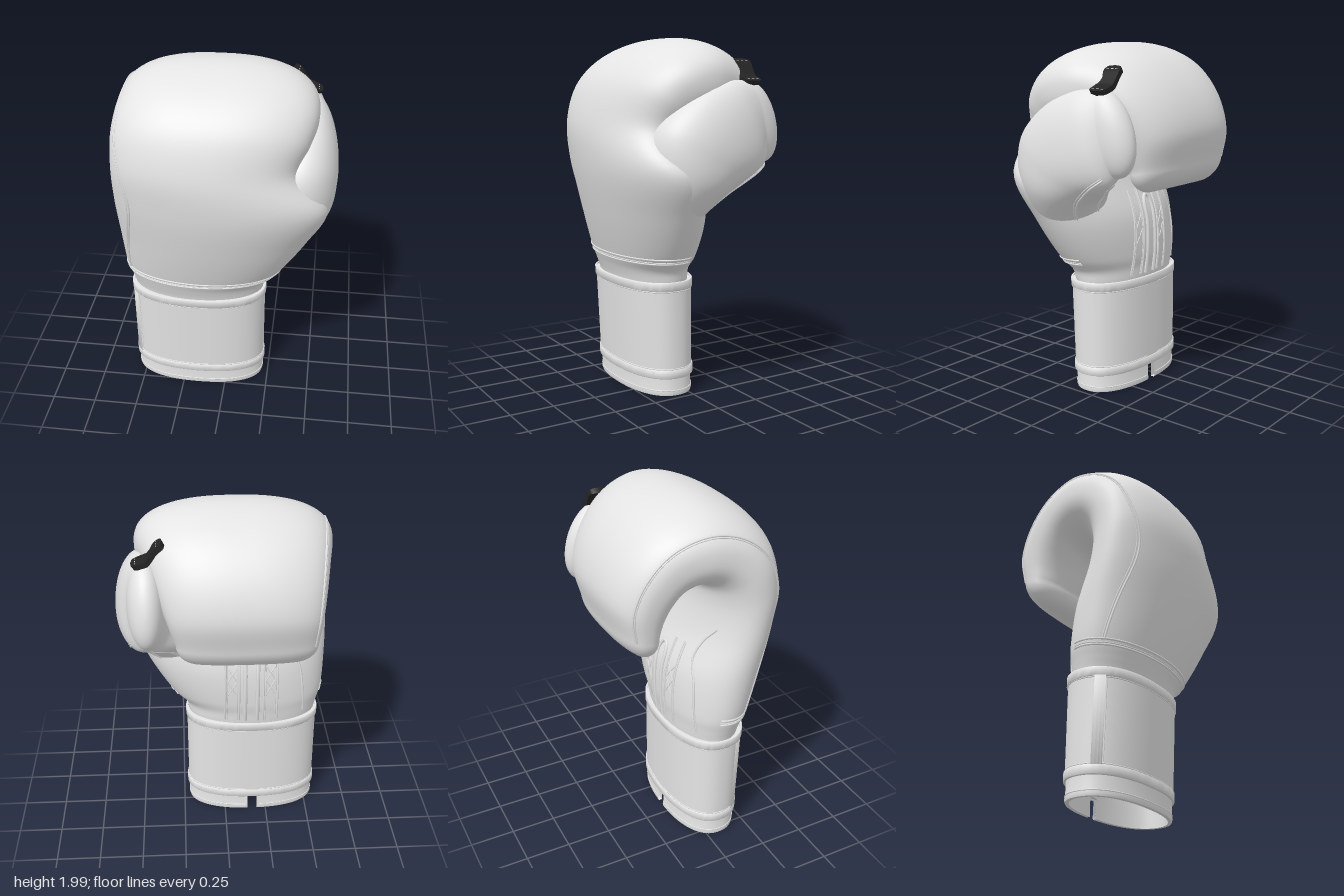
import * as THREE from 'three';
import { toCreasedNormals } from 'three/addons/utils/BufferGeometryUtils.js';

const leather = new THREE.MeshStandardMaterial({ color: 0xe4e4e4, side: THREE.DoubleSide });
leather.name = 'pale leather';
const black = new THREE.MeshStandardMaterial({ color: 0x242424, side: THREE.DoubleSide });
black.name = 'black tab';

const { degToRad: rad, lerp, smoothstep } = THREE.MathUtils;
const V = (x, y, z) => new THREE.Vector3(x, y, z);
const sp = (v, n) => Math.sign(v) * Math.abs(v) ** (2 / n);
const range = (n, fn) => Array.from({ length: n + 1 }, (_, i) => fn(i / n));

function add(group, name, geometry, material = leather) {
  const mesh = new THREE.Mesh(geometry, material);
  mesh.name = name;
  group.add(mesh);
}

// Joins rows of points into a surface; closed wraps each row round
function skin(rows, closed) {
  const n = rows[0].length, index = [];
  for (let j = 0; j < rows.length - 1; j++) {
    for (let k = 0; k < (closed ? n : n - 1); k++) {
      const a = j * n + k, b = j * n + (k + 1) % n;
      index.push(a, a + n, b, b, a + n, b + n);
    }
  }
  const g = new THREE.BufferGeometry().setFromPoints(rows.flat());
  g.setIndex(index);
  g.computeVertexNormals();
  return g;
}

// Padded form. Station: x min, x max, outer z, outer y, inner z, inner y
function padded(stations, power, tip, ovalTip) {
  const outer = new THREE.CatmullRomCurve3(stations.map((s) => V(s[1], s[3], s[2])));
  const inner = new THREE.CatmullRomCurve3(stations.map((s) => V(s[0], s[5], s[4])));
  const frame = (t) => {
    const o = outer.getPoint(t), i = inner.getPoint(t);
    return {
      p: power(t), cx: (o.x + i.x) / 2, hw: (o.x - i.x) / 2,
      mid: V(0, (o.y + i.y) / 2, (o.z + i.z) / 2), half: V(0, (o.y - i.y) / 2, (o.z - i.z) / 2),
    };
  };
  const at = (f, a) => f.mid.clone().addScaledVector(f.half, sp(Math.sin(a), f.p))
    .add(V(f.cx + f.hw * sp(Math.cos(a), f.p), 0, 0));
  const N = 72, row = (f) => Array.from({ length: N }, (_, k) => at(f, k / N * Math.PI * 2));
  const rows = [row({ ...frame(0), hw: 0, half: V(0, 0, 0) })];
  for (let j = 0; j <= 90; j++) rows.push(row(frame(j / 90)));
  // Rounded end
  const end = frame(1), len = end.half.length(), h = Math.min(end.hw, len);
  for (let j = 1; j <= 14; j++) {
    const q = j / 14 * Math.PI / 2, cut = h * (1 - Math.cos(q));
    rows.push(row({
      ...end, hw: end.hw - cut,
      mid: end.mid.clone().addScaledVector(tip, Math.sin(q)),
      half: end.half.clone().multiplyScalar(ovalTip ? Math.cos(q) : (len - cut) / len),
    }));
  }
  return { geometry: skin(rows, true), frame, point: (t, deg) => at(frame(t), rad(deg)) };
}

function cord(points, r = 0.005) {
  return new THREE.TubeGeometry(new THREE.CatmullRomCurve3(points), points.length * 4, r, 6);
}

// Wrist section: point on the cuff outline, pushed out by off
function cuffPoint(a, y, off) {
  const front = 0.262 + 0.055 * y, back = -0.113;
  return V(-0.168 + (0.382 + off) * sp(Math.cos(a), 2.3), y,
    (front + back) / 2 + ((front - back) / 2 + off) * sp(Math.sin(a), 2.3));
}

// Sweeps a closed profile of [offset, y] round the wrist
function cuffRing(profile, from = 0, to = 360) {
  const loop = [...profile, profile[0]];
  const rows = loop.map(([off, y]) => range(90, (u) => cuffPoint(rad(from + (to - from) * u), y, off)));
  return toCreasedNormals(skin(rows, false), 0.7);
}

const band = (o1, y0, y1) => [[0, y0], [o1 - 0.003, y0], [o1, y0 + 0.004], [o1, y1 - 0.004], [o1 - 0.003, y1], [0, y1]];

export function createModel() {
  const glove = new THREE.Group();
  glove.name = 'boxingGlove';

  // Hand: wrist, back of the hand, knuckles, curled fingers
  const hand = padded([
    [-0.53, 0.19, 0.27, 0.55, -0.09, 0.55],
    [-0.545, 0.21, 0.29, 0.66, -0.105, 0.66],
    [-0.56, 0.225, 0.31, 0.72, -0.11, 0.72],
    [-0.58, 0.3, 0.34, 0.79, -0.12, 0.80],
    [-0.595, 0.455, 0.425, 1.05, -0.11, 1.03],
    [-0.6, 0.55, 0.49, 1.32, -0.03, 1.25],
    [-0.6, 0.39, 0.49, 1.56, 0.02, 1.42],
    [-0.597, 0.44, 0.41, 1.78, 0.02, 1.50],
    [-0.585, 0.475, 0.24, 1.93, 0, 1.53],
    [-0.57, 0.47, 0, 2.0, -0.05, 1.53],
    [-0.54, 0.415, -0.25, 1.93, -0.10, 1.50],
    [-0.515, 0.36, -0.42, 1.76, -0.14, 1.44],
    [-0.495, 0.31, -0.495, 1.55, -0.17, 1.38],
    [-0.48, 0.27, -0.46, 1.36, -0.2, 1.32],
  ], (t) => lerp(2.05, 2.45, smoothstep(t, 0.4, 0.65)), V(0, -0.125, 0.01), false);
  add(glove, 'hand', hand.geometry);

  // Thumb, folded towards the palm
  const thumb = padded([
    [0, 0.23, 0.25, 0.80, 0.1, 0.80],
    [0.03, 0.43, 0.31, 1.02, 0, 1.03],
    [0.08, 0.562, 0.36, 1.28, -0.10, 1.15],
    [0.18, 0.592, 0.32, 1.51, -0.19, 1.21],
    [0.27, 0.588, 0.13, 1.68, -0.25, 1.25],
    [0.31, 0.56, -0.07, 1.76, -0.295, 1.285],
    [0.325, 0.515, -0.22, 1.77, -0.325, 1.325],
  ], () => 2.1, V(-0.01, 0, -0.138), true);
  add(glove, 'thumb', thumb.geometry);

  // Side panel seams that run over the knuckles to the fingertips
  const panel = (shift) => range(50, (u) => {
    const t = 0.235 + 0.765 * u;
    return hand.point(t, 156 + shift - 13 * Math.exp(-(((t - 0.39) / 0.1) ** 2)));
  });
  add(glove, 'sidePanelSeam', cord(panel(0), 0.006));
  add(glove, 'sidePanelStitching', cord(panel(2.5), 0.0035));

  // Seam lines where the padding meets the wrist
  for (const [t, r] of [[0.236, 0.006], [0.226, 0.0035], [0.217, 0.006]]) {
    add(glove, 'wristSeam', cord(range(30, (u) => hand.point(t, -15 + 210 * u)), r));
  }

  // Palm seams laid on the inner face
  const palm = (x, y) => {
    let t = 0;
    while (t < 0.45 && hand.point(t, 270).y < y) t += 0.002;
    const f = hand.frame(t), u = Math.min(1, Math.abs((x - f.cx) / f.hw));
    const p = f.mid.clone().addScaledVector(f.half, -((1 - u ** f.p) ** (1 / f.p)));
    p.x = x;
    return p;
  };
  const slot = -0.15;
  add(glove, 'palmOpeningRim', cord([
    ...range(5, (u) => palm(slot - 0.035, 0.68 + 0.4 * u)), palm(slot - 0.02, 1.12),
    palm(slot, 1.135), palm(slot + 0.02, 1.12),
    ...range(5, (u) => palm(slot + 0.035, 1.08 - 0.4 * u)),
  ], 0.012));
  for (const side of [-1, 1]) {
    const c = slot + side * 0.11;
    for (const e of [-0.04, 0.04]) {
      add(glove, 'palmStrap', cord(range(6, (u) => palm(c + e, 0.68 + 0.5 * u)), 0.006));
      add(glove, 'palmStrapStitching', cord(range(6, (u) => palm(c + e * 0.72, 0.68 + 0.5 * u)), 0.0035));
      for (const y of [0.86, 0.95]) {
        add(glove, 'crossStitch', cord([palm(c - e * 0.7, y), palm(c, y + 0.045), palm(c + e * 0.7, y + 0.09)], 0.0035));
      }
    }
  }
  add(glove, 'palmEdgeSeam', cord([palm(-0.46, 0.7), palm(-0.45, 0.85), palm(-0.43, 1.0), palm(-0.38, 1.12),
    palm(-0.4, 1.22), palm(-0.46, 1.3)], 0.007));

  // Thumb seams
  for (const deg of [262, 300]) {
    add(glove, 'thumbSeam', cord(range(16, (u) => thumb.point(0.06 + 0.8 * u, deg)), 0.006));
    add(glove, 'thumbStitching', cord(range(16, (u) => thumb.point(0.06 + 0.8 * u, deg + 4)), 0.0035));
  }

  // Cuff: inner sleeve with a slit at the back, wide band and trims
  add(glove, 'sleeve', cuffRing([[-0.02, 0.006], [0, 0.006], [0.004, 0.02], [0, 0.04], [-0.001, 0.14], [-0.02, 0.14]], -87, 267));
  add(glove, 'cuffBand', cuffRing([[-0.02, 0.115], [0.006, 0.115], [0.006, 0.655], [-0.02, 0.655]]));
  add(glove, 'upperTrim', cuffRing(band(0.013, 0.612, 0.662)));
  add(glove, 'lowerTrim', cuffRing(band(0.013, 0.108, 0.158)));
  add(glove, 'strapEndTrim', cuffRing(band(0.012, 0.14, 0.63), 150, 164));

  // Cuff stitching
  for (const [y, off] of [[0.608, 0.006], [0.162, 0.006], [0.035, 0.001]]) {
    add(glove, 'cuffStitching', cord(range(48, (u) => cuffPoint(rad(-85 + 350 * u), y, off)), 0.0035));
  }
  add(glove, 'strapEndStitching', cord(range(6, (u) => cuffPoint(rad(149), 0.17 + 0.43 * u, 0.006)), 0.0035));

  // Black tab tying the thumb to the hand, with rounded ends
  const line = new THREE.CatmullRomCurve3([V(0.325, 1.887, -0.235), V(0.362, 1.862, -0.235), V(0.39, 1.82, -0.232),
    V(0.412, 1.793, -0.23), V(0.44, 1.782, -0.23), V(0.486, 1.764, -0.228)]);
  const tab = range(40, (u) => {
    const c = line.getPoint(u), w = 0.054 * (1 - Math.abs(2 * u - 1) ** 7) ** (1 / 3);
    const under = c.clone().add(V(-0.016, -0.024, 0));
    return [[c, w], [c, -w], [under, -w], [under, w]].map(([p, d]) => V(p.x, p.y, p.z + d));
  });
  add(glove, 'thumbTab', toCreasedNormals(skin(tab, true), 0.7), black);

  // Pale dashes sewn across both ends of the tab
  for (const u of [0.14, 0.9]) {
    for (const z of [-0.028, 0, 0.028]) {
      const c = line.getPoint(u);
      add(glove, 'tabStitch', cord([V(c.x, c.y, c.z + z - 0.008), V(c.x, c.y, c.z + z + 0.008)], 0.002));
    }
  }

  return glove;
}
